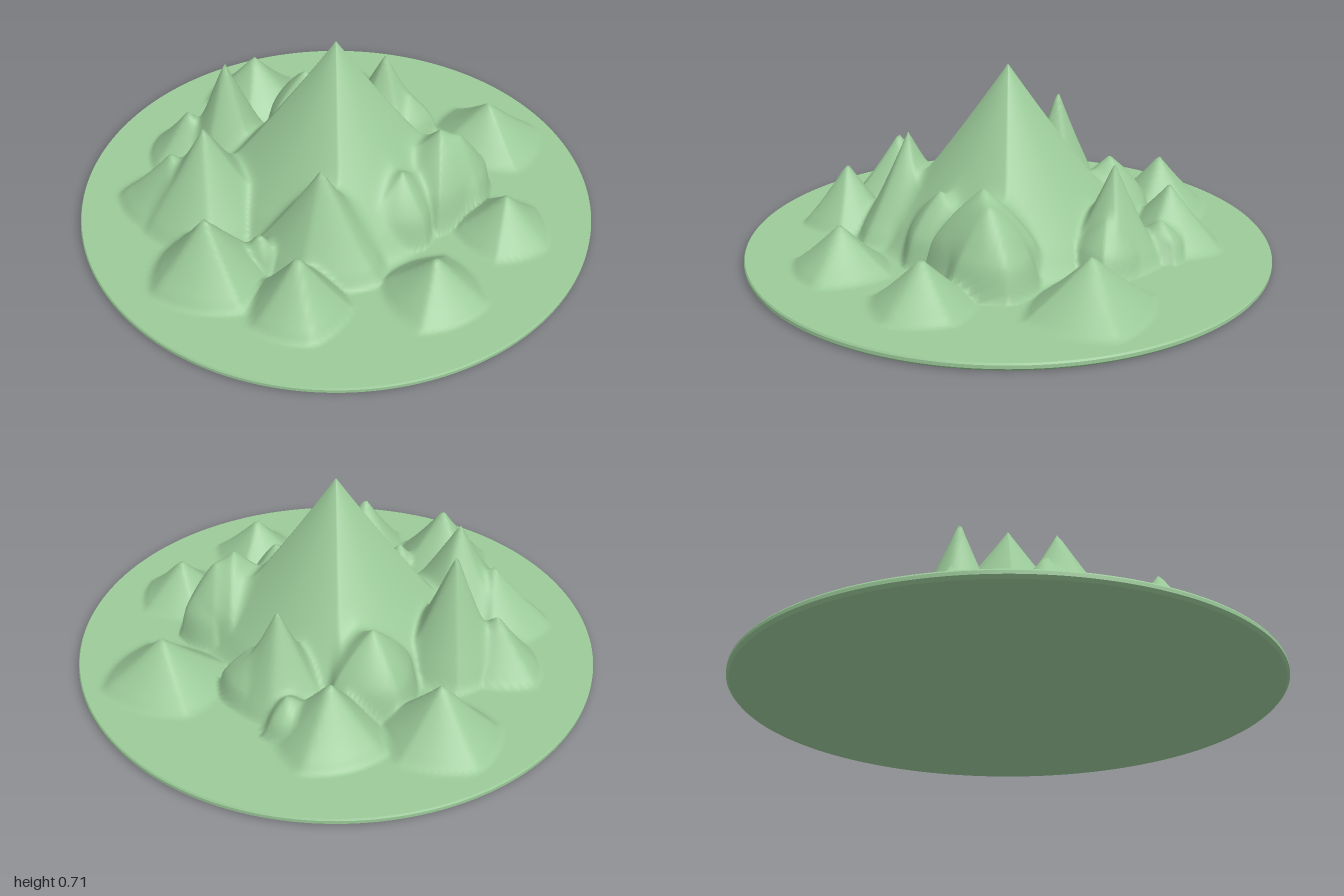
import * as THREE from 'three';
import { mergeVertices, toCreasedNormals } from 'three/addons/utils/BufferGeometryUtils.js';

const BASE = 0.028;

// Pointed mountains: x, z, top height, reach along x, reach along z
const mountains = [
  [0, 0, 0.71, 0.49, 0.49],
  [-0.47, -0.02, 0.5, 0.2, 0.2],
  [-0.63, 0.02, 0.25, 0.19, 0.16],
  [-0.4, 0.31, 0.43, 0.25, 0.27],
  [-0.55, 0.31, 0.27, 0.22, 0.2],
  [0.09, 0.38, 0.43, 0.26, 0.2],
  [-0.25, 0.62, 0.3, 0.22, 0.2],
  [0.11, 0.65, 0.27, 0.18, 0.18],
  [0.53, 0.42, 0.2, 0.18, 0.18],
  [0.68, 0.01, 0.2, 0.18, 0.18],
  [0.48, -0.51, 0.22, 0.23, 0.21],
  [0.05, -0.44, 0.4, 0.2, 0.18],
  [-0.2, -0.58, 0.26, 0.2, 0.2],
  [-0.55, -0.44, 0.25, 0.22, 0.2],
];

// Blunt crags with steep sides, in the same order of values
const crags = [
  [0.39, -0.08, 0.36, 0.16, 0.2],
  [0.45, -0.13, 0.3, 0.14, 0.17],
  [0.31, 0.13, 0.29, 0.13, 0.15],
  [-0.1, 0.5, 0.17, 0.07, 0.06],
  [0.16, -0.45, 0.21, 0.11, 0.12],
  [-0.05, -0.59, 0.17, 0.08, 0.1],
  [-0.26, -0.32, 0.32, 0.17, 0.18],
];

// Height of one peak above the base, with 4 or 5 soft ridges around it
function rise([px, pz, top, reachX, reachZ], index, power, x, z) {
  const u = (x - px) / reachX;
  const v = (z - pz) / reachZ;
  const step = (2 * Math.PI) / (4 + (index % 2));
  const turn = 0.4 + index * 0.35;
  const angle = (Math.atan2(v, u) + turn + 4 * Math.PI) % step;
  const facet = 0.55 + 0.45 * Math.cos(angle - step / 2);
  const t = Math.max(0, 1 - Math.hypot(u, v) * facet);
  const foot = Math.min(1, t * 5);                   // soft foot of the slope
  return (top - BASE) * Math.pow(t, power) * foot * (2 - foot);
}

// Ground height: all peaks blended, with sharp valleys slightly filled
function ground(x, z) {
  let sum = 0;
  mountains.forEach((p, i) => { sum += rise(p, i, 1.18, x, z) ** 6; });
  crags.forEach((p, i) => { sum += rise(p, i, 0.55, x, z) ** 6; });
  return BASE + sum ** (1 / 6);
}

export function createModel() {
  const group = new THREE.Group();
  const green = new THREE.MeshStandardMaterial({ color: 0x9bca99 });
  green.name = 'soft green';

  // Mountain terrain: a disc raised by the ground height
  let disc = new THREE.RingGeometry(0, 0.996, 240, 110);
  disc.rotateX(-Math.PI / 2);
  disc.deleteAttribute('uv');
  disc.deleteAttribute('normal');
  disc = mergeVertices(disc, 1e-5);
  const pos = disc.attributes.position;
  for (let i = 0; i < pos.count; i++) pos.setY(i, ground(pos.getX(i), pos.getZ(i)));
  disc.computeVertexNormals();
  const terrain = new THREE.Mesh(disc, green);
  terrain.name = 'mountainTerrain';

  // Thin plate under the terrain: flat bottom and upright rim
  const profile = [[0, 0], [0.99, 0], [1, 0.01], [1, 0.022], [0.996, BASE]]
    .map(([x, y]) => new THREE.Vector2(x, y));
  const plate = new THREE.Mesh(toCreasedNormals(new THREE.LatheGeometry(profile, 240), 0.5), green);
  plate.name = 'basePlate';

  group.add(terrain, plate);
  return group;
}
